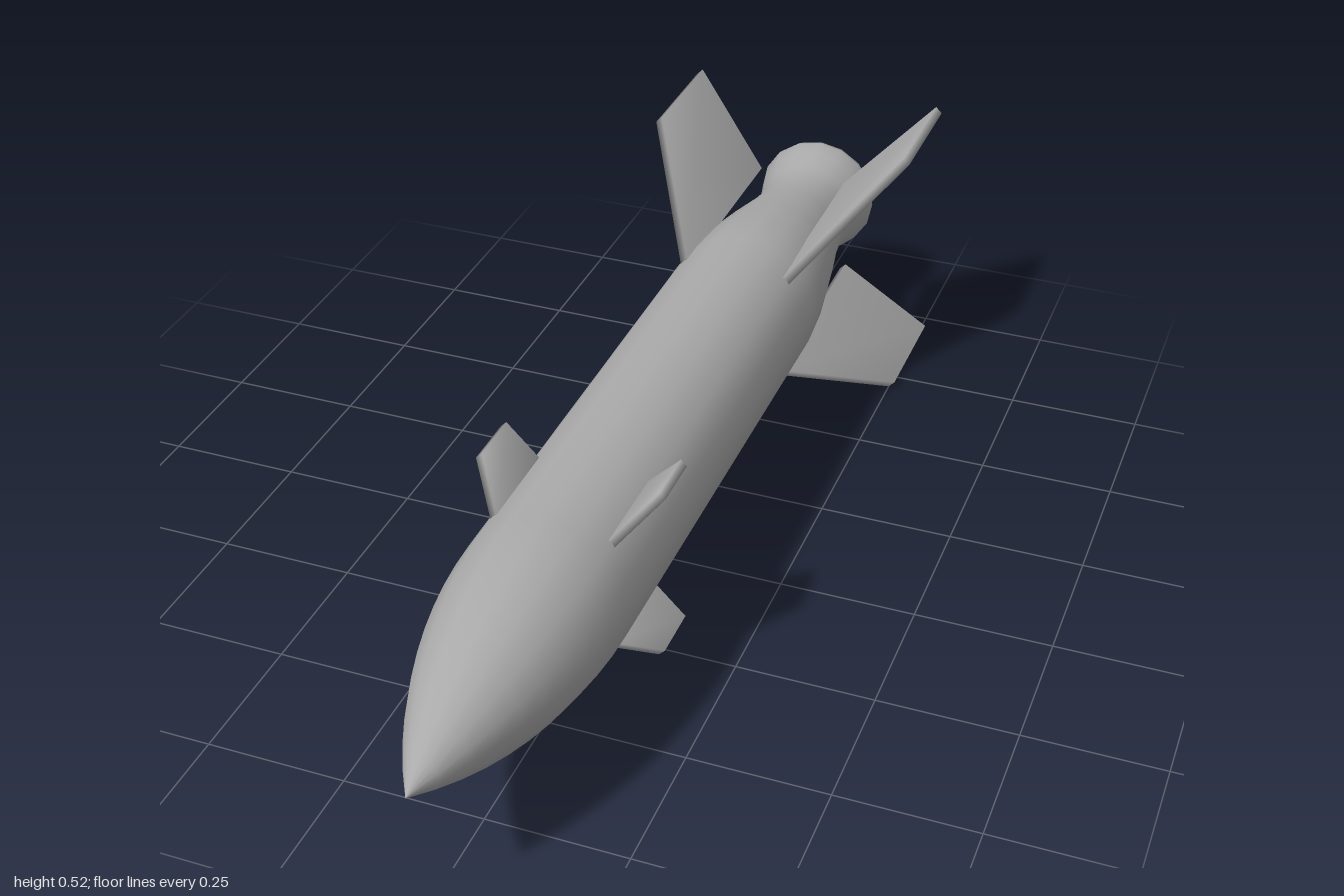
import * as THREE from 'three';

const AXIS_Y = 0.262;
const RADIUS = 0.147;

// Swept plate: outline of [radial, z] corners, thickened along local z, with shared soft normals
function finGeometry(outline, thickness) {
  const positions = [];
  for (const side of [1, -1]) {
    for (const [r, z] of outline) positions.push(r, side * thickness / 2, z);
  }
  const n = outline.length;
  const index = [0, 1, 2, 0, 2, 3, n, n + 2, n + 1, n, n + 3, n + 2];
  for (let i = 0; i < n; i++) {
    const j = (i + 1) % n;
    index.push(i, n + i, j, j, n + i, n + j);
  }
  const geometry = new THREE.BufferGeometry();
  geometry.setAttribute('position', new THREE.Float32BufferAttribute(positions, 3));
  geometry.setIndex(index);
  geometry.computeVertexNormals();
  return geometry;
}

export function createModel() {
  const model = new THREE.Group();
  model.name = 'missile';
  const grey = new THREE.MeshStandardMaterial({ color: 0xaaaaaa });
  grey.name = 'grey';

  // Body profile from tail to nose: closed nozzle, boat tail, tube
  const profile = [
    [0, -1], [0.108, -1], [0.116, -0.997], [0.121, -0.982], [0.113, -0.95],
    [0.102, -0.91], [0.095, -0.87], [0.102, -0.8], [0.122, -0.7],
    [0.139, -0.6], [RADIUS, -0.5], [RADIUS, 0], [RADIUS, 0.48],
  ].map(([r, z]) => new THREE.Vector2(r, z));

  // Tangent ogive nose
  const length = 0.52;
  const arc = (length ** 2 + RADIUS ** 2) / (2 * RADIUS);
  const steps = 10;
  for (let i = 1; i <= steps; i++) {
    const d = length * i / steps;
    const r = i === steps ? 0 : Math.sqrt(arc ** 2 - d ** 2) - arc + RADIUS;
    profile.push(new THREE.Vector2(r, 0.48 + d));
  }
  const body = new THREE.Mesh(new THREE.LatheGeometry(profile, 16).rotateX(Math.PI / 2), grey);
  body.name = 'body';
  body.position.y = AXIS_Y;
  model.add(body);

  // Four tail fins and four forward fins, set in an X
  const tailFin = finGeometry([[0.136, -0.43], [0.361, -0.71], [0.361, -0.95], [0.134, -0.87]], 0.017);
  const noseFin = finGeometry([[0.136, 0.46], [0.227, 0.375], [0.227, 0.275], [0.136, 0.275]], 0.015);
  for (const [name, geometry] of [['tailFin', tailFin], ['noseFin', noseFin]]) {
    for (let i = 0; i < 4; i++) {
      const fin = new THREE.Mesh(geometry, grey);
      fin.name = name + (i + 1);
      fin.position.y = AXIS_Y;
      fin.rotation.z = Math.PI / 4 + i * Math.PI / 2;
      model.add(fin);
    }
  }
  return model;
}
